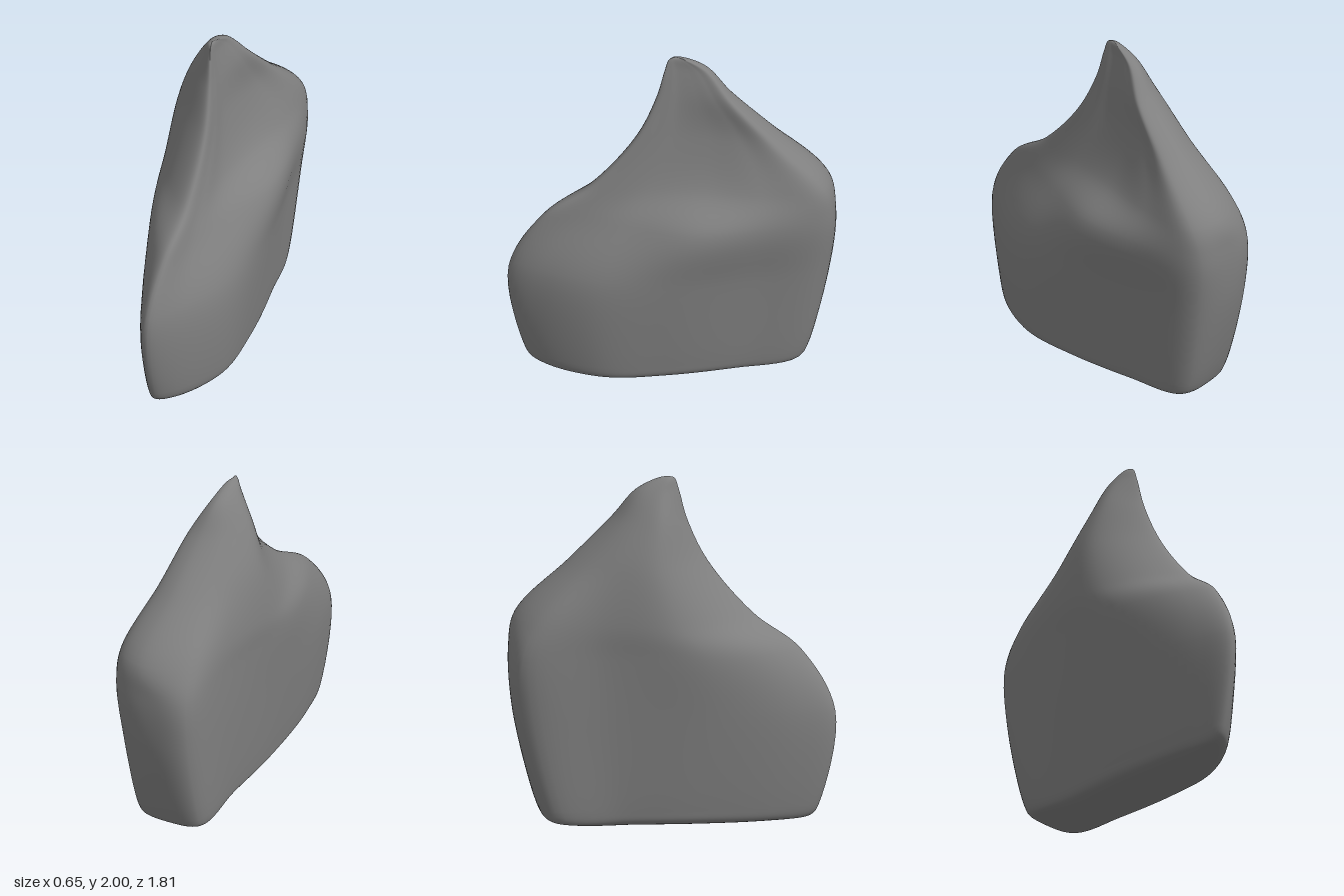
import * as THREE from 'three';

// Main cross-sections: each loop of x,z pairs starts at the front edge
// and runs round by +x, the back and -x.
const FOOT = [-.18,.815, -.05,.75, .145,.47, .21,.1, .225,-.35, .205,-.7, 0,-.745, -.17,-.7, -.2,-.3, -.235,.1, -.23,.6];
const WAIST = [-.19,.905, -.01,.73, .165,.46, .265,.08, .275,-.4, .25,-.8, .03,-.88, -.17,-.83, -.24,-.35, -.3,.18, -.27,.68];
const CHEST = [-.13,.72, -.01,.5, .11,.27, .285,-.05, .32,-.42, .275,-.83, .04,-.9, -.165,-.85, -.25,-.4, -.33,.13, -.25,.54];
const SHOULDER = [-.07,.46, 0,.32, .055,.12, .15,-.15, .25,-.45, .28,-.77, .11,-.86, -.15,-.76, -.25,-.42, -.315,-.02, -.21,.3];
const NECK = [-.035,.21, 0,.11, .02,-.01, .07,-.18, .13,-.35, .175,-.51, .06,-.57, -.1,-.5, -.22,-.32, -.27,-.1, -.16,.11];

// Levels from ground to peak: height, loop, scales and the centre it shrinks to
const LEVELS = [
  { y: 0, loop: FOOT, sx: 0, sz: 0 },
  { y: 0.03, loop: FOOT, sx: 0.82, sz: 0.82 },
  { y: 0.055, loop: FOOT, sx: 0.94, sz: 0.95 },
  { y: 0.12, loop: FOOT },
  { y: 0.65, loop: WAIST },
  { y: 1.0, loop: CHEST },
  { y: 1.2, loop: SHOULDER },
  { y: 1.5, loop: NECK },
  { y: 1.75, loop: NECK, sx: 0.65, sz: 0.54, cx: -0.05, cz: -0.05 },
  { y: 1.92, loop: NECK, sx: 0.28, sz: 0.31, cx: -0.05, cz: -0.03 },
  { y: 1.99, loop: NECK, sx: 0.09, sz: 0.11, cx: -0.05, cz: -0.006 },
  { y: 2, loop: NECK, sx: 0, sz: 0, cx: -0.05, cz: -0.02 },
];
const COLUMNS = FOOT.length / 2, RINGS = 88, SIDES = 88;

function levelPoint({ y, loop, sx = 1, sz = 1, cx = 0, cz = 0 }, c) {
  return new THREE.Vector3(
    cx + (loop[2 * c] - cx) * sx, y, cz + (loop[2 * c + 1] - cz) * sz);
}

function createRockGeometry() {
  // Vertical guide curves through matching points of all levels
  const guides = Array.from({ length: COLUMNS }, (_, c) =>
    new THREE.CatmullRomCurve3(LEVELS.map((level) => levelPoint(level, c)), false, 'centripetal'));

  // Smooth closed rings between the guides, with one vertex at each pole
  const positions = [0, 0, 0], indices = [];
  for (let i = 1; i < RINGS; i++) {
    const knots = guides.map((guide) => guide.getPoint(i / RINGS));
    const ring = new THREE.CatmullRomCurve3(knots, true, 'centripetal');
    for (let j = 0; j < SIDES; j++) positions.push(...ring.getPoint(j / SIDES).toArray());
  }
  positions.push(...guides[0].getPoint(1).toArray());

  const top = (RINGS - 1) * SIDES + 1;
  for (let j = 0; j < SIDES; j++) {
    const next = (j + 1) % SIDES;
    indices.push(0, 1 + next, 1 + j);
    for (let i = 0; i < RINGS - 2; i++) {
      const a = 1 + i * SIDES + j, b = 1 + i * SIDES + next;
      indices.push(a, b, b + SIDES, a, b + SIDES, a + SIDES);
    }
    indices.push(top - SIDES + j, top - SIDES + next, top);
  }

  const geometry = new THREE.BufferGeometry();
  geometry.setAttribute('position', new THREE.Float32BufferAttribute(positions, 3));
  geometry.setIndex(indices);
  geometry.computeVertexNormals();
  return geometry;
}

export function createModel() {
  const group = new THREE.Group();
  group.name = 'pointedRock';
  const rock = new THREE.Mesh(createRockGeometry(), new THREE.MeshStandardMaterial({ color: 0x808080 }));
  rock.name = 'rock';
  group.add(rock);
  return group;
}
